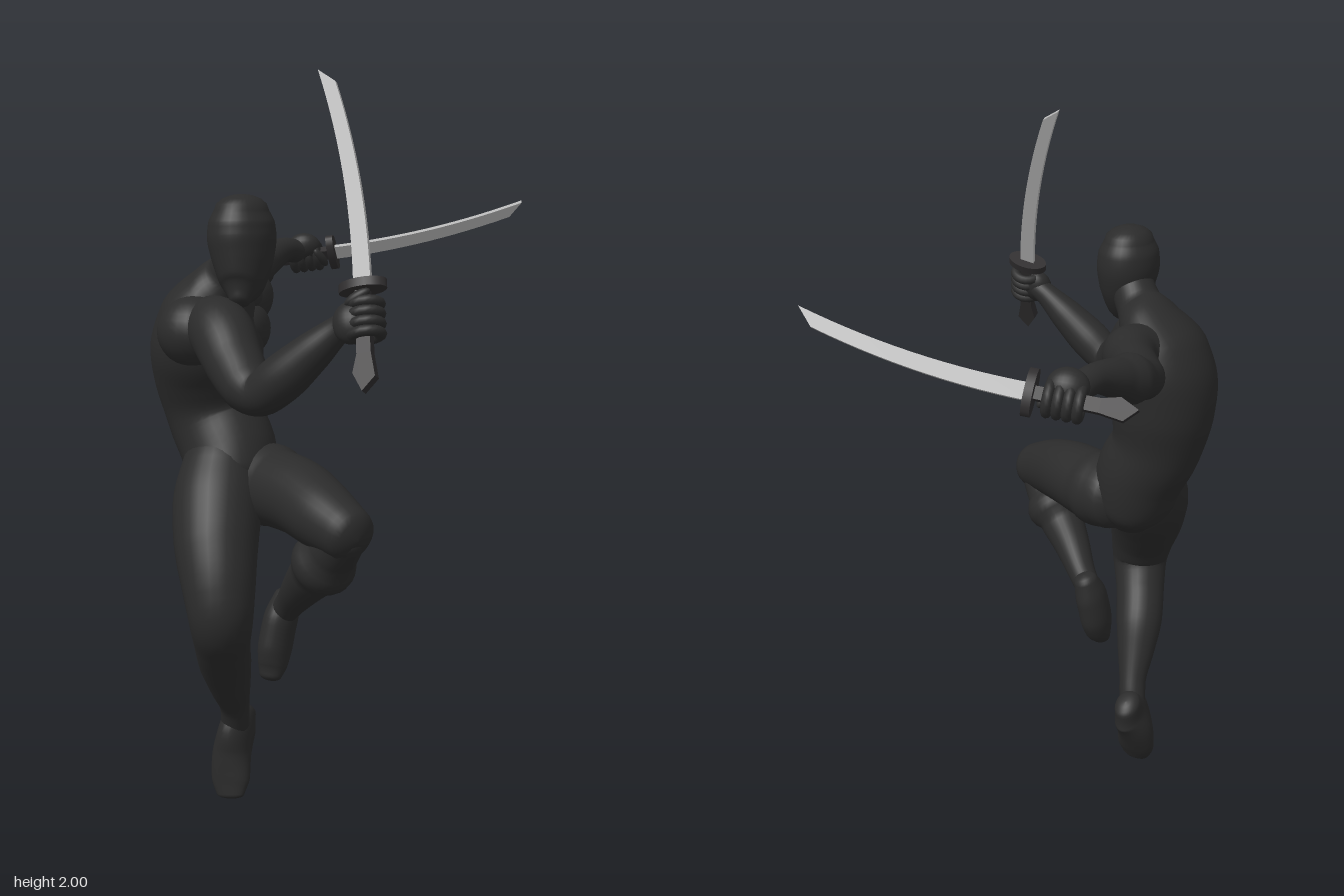
import * as THREE from 'three';

const suit = new THREE.MeshStandardMaterial({ color: 0x2b2b2b });
suit.name = 'blackSuit';
const grip = new THREE.MeshStandardMaterial({ color: 0x2f2d2e });
grip.name = 'darkGrip';
const steel = new THREE.MeshStandardMaterial({ color: 0xb4b4b4 });
steel.name = 'steel';

const X = [1, 0, 0], Y = [0, 1, 0];

// Smooth loft through sections [x, y, z, sideRadius, depthRadius], with rounded ends
function loft(name, sections, ref, sides = 28) {
  const path = new THREE.CatmullRomCurve3(sections.map(s => new THREE.Vector3(s[0], s[1], s[2])));
  const size = new THREE.CatmullRomCurve3(sections.map(s => new THREE.Vector3(s[3], s[4] ?? s[3], 0)));
  const steps = (sections.length - 1) * 5;
  const rings = [];
  const addRing = (t, angle, dir) => {
    const r = size.getPoint(t);
    const tan = path.getTangent(t);
    const c = path.getPoint(t).addScaledVector(tan, dir * 0.6 * Math.min(r.x, r.y) * Math.sin(angle));
    const k = Math.max(Math.cos(angle), 0.01);
    rings.push({ c, tan, a: r.x * k, b: r.y * k });
  };
  for (let i = 4; i >= 1; i--) addRing(0, i * Math.PI / 8, -1);
  for (let i = 0; i <= steps; i++) addRing(i / steps, 0, 0);
  for (let i = 1; i <= 4; i++) addRing(1, i * Math.PI / 8, 1);

  const pos = [], idx = [];
  const side = new THREE.Vector3(...ref);
  rings.forEach(({ c, tan, a, b }, i) => {
    const u = side.clone().addScaledVector(tan, -side.dot(tan)).normalize();
    const v = tan.clone().cross(u);
    for (let j = 0; j < sides; j++) {
      const th = j / sides * Math.PI * 2;
      const p = c.clone().addScaledVector(u, a * Math.cos(th)).addScaledVector(v, b * Math.sin(th));
      pos.push(p.x, p.y, p.z);
      if (i < rings.length - 1) {
        const n = (j + 1) % sides, p0 = i * sides, p1 = p0 + sides;
        idx.push(p0 + j, p0 + n, p1 + n, p0 + j, p1 + n, p1 + j);
      }
    }
  });
  const g = new THREE.BufferGeometry();
  g.setAttribute('position', new THREE.Float32BufferAttribute(pos, 3));
  g.setIndex(idx);
  g.computeVertexNormals();
  const m = new THREE.Mesh(g, suit);
  m.name = name;
  return m;
}

function ellipsoid(name, p, s, rotY = 0) {
  const m = new THREE.Mesh(new THREE.SphereGeometry(1, 24, 16), suit);
  m.position.set(...p);
  m.scale.set(...s);
  m.rotation.y = rotY;
  m.name = name;
  return m;
}

function plate(name, shape, depth, mat) {
  const g = new THREE.ExtrudeGeometry(shape, { depth, bevelEnabled: false });
  g.translate(0, 0, -depth / 2);
  const m = new THREE.Mesh(g, mat);
  m.name = name;
  return m;
}

// Curved sword held in a fist; origin at the guard, +y to the tip, +x the cutting edge
function swordInHand(name, guardPos, pommelPos, edge) {
  const g = new THREE.Group();
  g.name = name;
  const up = new THREE.Vector3(...guardPos).sub(new THREE.Vector3(...pommelPos)).normalize();
  const ex = new THREE.Vector3(...edge);
  ex.addScaledVector(up, -ex.dot(up)).normalize();
  g.quaternion.setFromRotationMatrix(new THREE.Matrix4().makeBasis(ex, up, ex.clone().cross(up)));
  g.position.set(...guardPos);

  // Blade outline follows a gentle parabola
  const mid = t => 0.005 * t - 0.082 * t * t;
  const back = [], front = [];
  for (let i = 0; i <= 14; i++) {
    const t = i / 14;
    back.push(new THREE.Vector2(mid(t) - 0.022 + 0.005 * t, 0.6 * t));
    if (t < 0.95) front.push(new THREE.Vector2(mid(t) + 0.022 - 0.005 * t, 0.6 * t));
  }
  g.add(plate('blade', new THREE.Shape([...front, ...back.reverse()]), 0.013, steel));

  // Flared handle with a pointed pommel
  const handle = new THREE.Shape([[0.016, 0], [-0.016, 0], [-0.018, -0.17], [-0.03, -0.215],
    [-0.008, -0.262], [0.026, -0.23], [0.018, -0.17]].map(p => new THREE.Vector2(...p)));
  g.add(plate('handle', handle, 0.026, grip));
  const guard = new THREE.Mesh(new THREE.CylinderGeometry(1, 1, 0.022, 24), grip);
  guard.scale.set(0.06, 1, 0.035);
  guard.name = 'guard';
  g.add(guard);

  // Fist: palm on the wrist side, four fingers and a thumb round the handle
  g.add(ellipsoid('palm', [-0.032, -0.085, 0], [0.047, 0.053, 0.038]));
  for (let i = 0; i < 4; i++) {
    const f = new THREE.Mesh(new THREE.TorusGeometry(0.03, 0.0135, 10, 20), suit);
    f.rotation.x = Math.PI / 2;
    f.scale.x = 1.15;
    f.position.set(0.004, -0.047 - i * 0.025, 0);
    f.name = 'finger';
    g.add(f);
  }
  const thumb = ellipsoid('thumb', [-0.005, -0.035, 0.027], [0.035, 0.014, 0.014]);
  thumb.rotation.z = 0.4;
  g.add(thumb);
  return g;
}

export function createModel() {
  const model = new THREE.Group();
  model.name = 'swordFighter';

  // Torso and neck
  model.add(loft('torso', [
    [-0.11, 0.86, 0.27, 0.09, 0.085], [-0.135, 0.93, 0.245, 0.14, 0.12],
    [-0.16, 1.01, 0.225, 0.135, 0.13], [-0.207, 1.1, 0.215, 0.128, 0.13],
    [-0.222, 1.2, 0.22, 0.157, 0.145], [-0.215, 1.3, 0.237, 0.185, 0.15],
    [-0.195, 1.38, 0.25, 0.18, 0.13], [-0.155, 1.45, 0.262, 0.125, 0.085],
    [-0.115, 1.49, 0.28, 0.07, 0.065], [-0.08, 1.54, 0.305, 0.062, 0.06]], [0.25, 0, 0.97], 36));
  for (const z of [0.16, 0.31])
    model.add(ellipsoid('chestMuscle', [-0.135, 1.33, z], [0.06, 0.075, 0.1], 0.15));
  model.add(ellipsoid('shoulderSlope', [-0.175, 1.415, 0.16], [0.075, 0.065, 0.11]));
  model.add(ellipsoid('shoulderBlade', [-0.18, 1.34, 0.365], [0.1, 0.095, 0.1]));

  // Masked head
  model.add(loft('head', [
    [-0.04, 1.43, 0.378, 0.028, 0.03], [-0.046, 1.465, 0.355, 0.056, 0.068],
    [-0.054, 1.525, 0.335, 0.077, 0.09], [-0.06, 1.585, 0.326, 0.087, 0.1],
    [-0.061, 1.625, 0.325, 0.083, 0.096], [-0.061, 1.656, 0.325, 0.068, 0.08]], X, 32));

  // Arms
  model.add(loft('frontArm', [
    [-0.13, 1.365, 0.36, 0.075], [-0.07, 1.345, 0.42, 0.084], [0, 1.275, 0.48, 0.075],
    [0.06, 1.227, 0.525, 0.065], [0.105, 1.217, 0.545, 0.056], [0.165, 1.258, 0.553, 0.06],
    [0.25, 1.33, 0.55, 0.049], [0.315, 1.385, 0.546, 0.034], [0.35, 1.405, 0.55, 0.032]], [0, 0, 1]));
  model.add(loft('backArm', [
    [-0.19, 1.39, 0.16, 0.085], [-0.185, 1.412, 0.075, 0.08], [-0.225, 1.422, 0, 0.063],
    [-0.285, 1.43, -0.09, 0.058], [-0.327, 1.447, -0.17, 0.055], [-0.318, 1.482, -0.28, 0.055],
    [-0.297, 1.515, -0.39, 0.038], [-0.285, 1.51, -0.45, 0.036]], Y));

  // Lower leg carrying the leap, with its foot
  model.add(loft('loweredLeg', [
    [-0.155, 0.98, 0.27, 0.105], [-0.138, 0.88, 0.33, 0.12], [-0.108, 0.78, 0.395, 0.112],
    [-0.075, 0.68, 0.443, 0.097], [-0.062, 0.6, 0.457, 0.085], [-0.085, 0.52, 0.41, 0.075],
    [-0.112, 0.44, 0.345, 0.071], [-0.125, 0.36, 0.295, 0.057], [-0.138, 0.28, 0.245, 0.041],
    [-0.15, 0.22, 0.22, 0.04]], X));
  model.add(loft('loweredFoot', [
    [-0.155, 0.24, 0.17, 0.038, 0.05], [-0.155, 0.195, 0.2, 0.046, 0.074],
    [-0.163, 0.13, 0.218, 0.055, 0.055], [-0.158, 0.06, 0.237, 0.058, 0.034],
    [-0.152, 0.018, 0.25, 0.042, 0.02]], X));

  // Raised leg folded at the knee, with its foot
  model.add(loft('raisedThigh', [
    [-0.085, 0.925, 0.205, 0.105], [0, 0.917, 0.25, 0.105], [0.1, 0.91, 0.31, 0.1],
    [0.2, 0.885, 0.38, 0.09], [0.29, 0.857, 0.43, 0.072]], Y));
  model.add(loft('raisedShin', [
    [0.28, 0.855, 0.425, 0.058], [0.225, 0.79, 0.39, 0.068], [0.165, 0.73, 0.352, 0.068],
    [0.105, 0.67, 0.31, 0.055], [0.048, 0.61, 0.262, 0.042], [0.015, 0.575, 0.24, 0.038]], Y));
  model.add(loft('raisedFoot', [
    [0.015, 0.61, 0.22, 0.036, 0.038], [0.002, 0.55, 0.235, 0.045, 0.058],
    [-0.008, 0.48, 0.247, 0.045, 0.059], [-0.011, 0.425, 0.26, 0.04, 0.044],
    [-0.012, 0.397, 0.272, 0.032, 0.026]], X));

  // Swords and the hands that hold them
  model.add(swordInHand('frontSword', [0.365, 1.485, 0.52], [0.42, 1.26, 0.62], [1, 0, 0]));
  model.add(swordInHand('backSword', [-0.19, 1.505, -0.52], [-0.436, 1.47, -0.453], [0, -0.82, -0.57]));
  return model;
}
